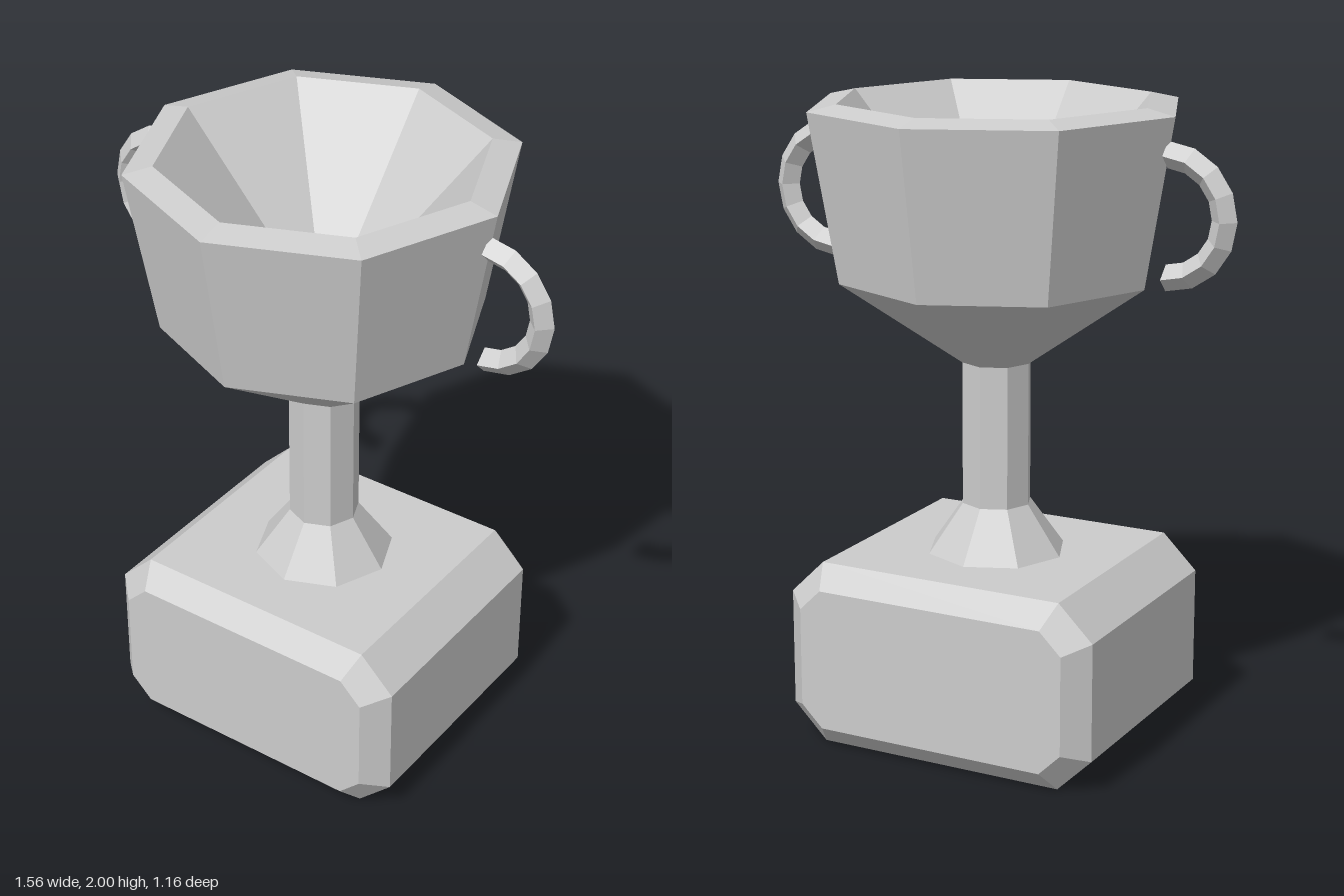
import * as THREE from 'three';

export function createModel() {
  const model = new THREE.Group();
  model.name = 'trophy';
  const silver = new THREE.MeshStandardMaterial({ color: 0xcccccc });
  silver.name = 'silver';
  silver.flatShading = true;

  const add = (parent, name, geometry) => {
    const mesh = new THREE.Mesh(geometry, silver);
    mesh.name = name;
    parent.add(mesh);
    return mesh;
  };
  const lathe = (points) =>
    new THREE.LatheGeometry(points.map(([r, y]) => new THREE.Vector2(r, y)), 8);

  // Plinth: an octagonal slab with bevelled front and back
  const outline = new THREE.Shape([
    [-0.405, 0], [0.405, 0], [0.517, 0.11], [0.517, 0.48],
    [0.405, 0.59], [-0.405, 0.59], [-0.517, 0.48], [-0.517, 0.11],
  ].map(([x, y]) => new THREE.Vector2(x, y)));
  const bevel = 0.07;
  const plinth = new THREE.ExtrudeGeometry(outline, {
    depth: 0.76, bevelEnabled: true, bevelSegments: 1,
    bevelSize: bevel, bevelThickness: bevel, bevelOffset: -bevel,
  });
  plinth.translate(0, 0, -0.38);
  add(model, 'plinth', plinth);

  // Flared foot and stem
  add(model, 'stem', lathe([[0.22, 0.59], [0.11, 0.745], [0.11, 1.195]]));

  // Bowl: underside, wall, sloping rim and conical inside
  add(model, 'bowl', lathe([
    [0.11, 1.195], [0.493, 1.463], [0.582, 1.98], [0.493, 2], [0, 1.44],
  ]));

  // Handles: half rings of diamond section, with closed ends
  const ring = 0.182, tube = 0.04;
  for (const side of [1, -1]) {
    const handle = new THREE.Group();
    handle.name = side > 0 ? 'leftHandle' : 'rightHandle';
    add(handle, 'handleLoop',
      new THREE.TorusGeometry(ring, tube, 4, 8, Math.PI).rotateZ(-Math.PI / 2));
    for (const end of [1, -1]) {
      add(handle, 'handleEnd',
        new THREE.CircleGeometry(tube, 4).rotateY(-Math.PI / 2).translate(0, end * ring, 0));
    }
    handle.position.set(side * 0.56, 1.688, 0);
    handle.rotation.y = side > 0 ? 0 : Math.PI;
    model.add(handle);
  }
  return model;
}
